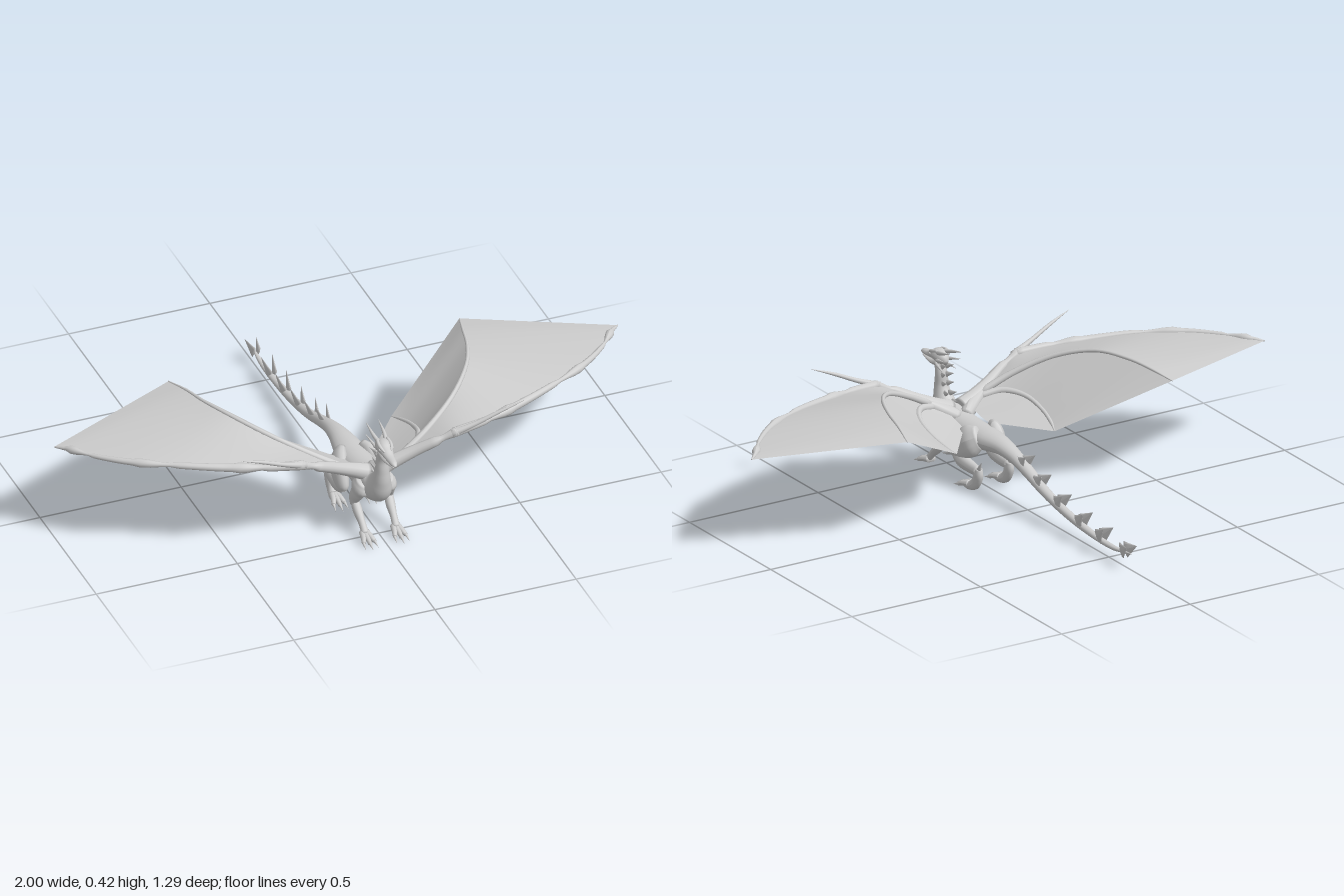
import * as THREE from 'three';

const skin = new THREE.MeshStandardMaterial({ color: 0xcccccc });
const web = new THREE.MeshStandardMaterial({ color: 0xcccccc, side: THREE.DoubleSide });
const V = (x, y, z) => new THREE.Vector3(x, y, z);

// Indexed grid of (rows + 1) x (cols + 1) points given by fn(row, col)
function grid(rows, cols, fn) {
  const pos = [], idx = [];
  for (let i = 0; i <= rows; i++)
    for (let j = 0; j <= cols; j++) pos.push(...fn(i, j).toArray());
  for (let i = 0; i < rows; i++)
    for (let j = 0; j < cols; j++) {
      const a = i * (cols + 1) + j, b = a + cols + 1;
      idx.push(a, a + 1, b, a + 1, b + 1, b);
    }
  const g = new THREE.BufferGeometry();
  g.setAttribute('position', new THREE.Float32BufferAttribute(pos, 3));
  g.setIndex(idx);
  g.computeVertexNormals();
  return g;
}

// Smooth elliptical loft through rows [x, y, z, radius along ref, other radius], closed at both ends
function loft(rows, { ref = V(1, 0, 0), steps = 5, sides = 14 } = {}) {
  const path = new THREE.CatmullRomCurve3(rows.map(r => V(r[0], r[1], r[2])));
  const radii = new THREE.CatmullRomCurve3(rows.map(r => V(r[3], r[4] ?? r[3], 0)));
  const n = (rows.length - 1) * steps;
  const rings = [];
  for (let i = 0; i <= n; i++) {
    const c = path.getPoint(i / n), t = path.getTangent(i / n), r = radii.getPoint(i / n);
    const u = ref.clone().addScaledVector(t, -ref.dot(t)).normalize();
    rings.push({ c, u, v: t.cross(u), a: Math.max(r.x, 0.0005), b: Math.max(r.y, 0.0005) });
  }
  rings.unshift({ ...rings[0], a: 0, b: 0 });
  rings.push({ ...rings[n + 1], a: 0, b: 0 });
  return grid(n + 2, sides, (i, j) => {
    const { c, u, v, a, b } = rings[i], w = (j % sides) / sides * Math.PI * 2;
    return c.clone().addScaledVector(u, a * Math.cos(w)).addScaledVector(v, b * Math.sin(w));
  });
}

// Straight pointed horn, claw or spine
const spike = (from, to, a, b = a) =>
  loft([[...from, a, b], [...to, 0.0005, 0.0005]], { steps: 2, sides: 8 });

// Ruled skin stretched between two curves
function membrane(p, q) {
  const a = new THREE.CatmullRomCurve3(p), b = new THREE.CatmullRomCurve3(q);
  return grid(24, 8, (i, j) => a.getPoint(i / 24).lerp(b.getPoint(i / 24), j / 8));
}

export function createModel() {
  const model = new THREE.Group();
  const add = (name, geo, mat = skin, parent = model) => {
    const m = new THREE.Mesh(geo, mat);
    m.name = name;
    parent.add(m);
  };

  // Neck, torso and tail in one sweep
  add('body', loft([
    [0, .35, .545, .016, .018], [0, .31, .532, .021, .021], [0, .268, .531, .024, .025],
    [0, .225, .52, .033, .038], [0, .185, .493, .048, .054], [0, .172, .44, .056, .050],
    [0, .168, .37, .055, .043], [0, .168, .30, .056, .040], [0, .172, .23, .051, .035],
    [0, .175, .15, .036, .027], [0, .162, .07, .026, .022], [0, .14, 0, .022, .019],
    [0, .10, -.115, .018, .016], [0, .068, -.255, .015, .014], [0, .05, -.395, .013, .011],
    [0, .045, -.53, .010, .008], [0, .058, -.635, .002, .002]], { sides: 20 }));

  // Head
  add('skull', loft([
    [0, .35, .65, .004, .003], [0, .354, .635, .012, .009], [0, .357, .60, .016, .011],
    [0, .365, .57, .022, .017], [0, .37, .545, .026, .024], [0, .362, .52, .022, .022],
    [0, .35, .505, .008, .010]]));
  add('lowerJaw', loft([
    [0, .341, .64, .005, .003], [0, .339, .61, .012, .006], [0, .338, .575, .018, .010],
    [0, .345, .535, .020, .014]]));

  for (const s of [1, -1]) {
    const side = new THREE.Group();
    side.name = s > 0 ? 'leftSide' : 'rightSide';
    model.add(side);
    const put = (name, geo, mat) => add(name, geo, mat, side);
    const P = ([x, ...rest]) => [x * s, ...rest];
    const limb = (name, rows, opt) => put(name, loft(rows.map(P), opt));
    const thorn = (name, a, b, ...r) => put(name, spike(P(a), P(b), ...r));

    // Horns, cheek spines and brows
    limb('horn', [[.012, .38, .54, .008], [.019, .392, .50, .006], [.022, .407, .445, .0008]]);
    thorn('cheekSpine', [.02, .36, .525], [.032, .375, .462], .007);
    thorn('jawSpine', [.018, .342, .53], [.028, .335, .485], .006);
    limb('brow', [[.012, .371, .585, .003], [.02, .382, .56, .006], [.018, .39, .53, .005]]);
    const eye = new THREE.SphereGeometry(.005, 10, 8);
    eye.translate(.022 * s, .372, .567);
    put('eye', eye);

    // Paired spines down the neck
    for (const [y, z] of [[.34, .515], [.31, .515], [.28, .512], [.25, .496], [.225, .475]])
      thorn('neckSpine', [.008, y, z], [.016, y + .012, z - .035], .005, .011);

    // Paired spines along the tail, given by their tips
    for (const [y, z, h] of [[.195, -.015, .042], [.16, -.115, .04], [.132, -.24, .042],
      [.112, -.37, .046], [.10, -.495, .042], [.083, -.64, .025]])
      thorn('tailSpine', [.008, y - h, z + .05], [.02, y, z], .006, .028);

    // Clawed foot: toes fan forward from the ankle
    const foot = (name, x, y, z, reach) => {
      for (const k of [-1, 0, 1]) {
        const tx = x + k * .019, tz = z + reach - Math.abs(k) * .01;
        limb(name + 'Toe', [[x + k * .006, y, z, .012], [x + k * .014, .019, z + reach * .55, .009],
          [tx, .012, tz, .007]], { sides: 10 });
        thorn(name + 'Claw', [tx, .014, tz - .003], [tx + k * .003, .003, tz + .026], .006);
      }
    };

    // Front leg
    limb('frontUpperLeg', [[.04, .195, .465, .022, .03], [.053, .155, .455, .022, .03],
      [.06, .12, .438, .018, .022], [.06, .095, .436, .015, .016]]);
    limb('frontLowerLeg', [[.06, .108, .435, .014, .015], [.058, .082, .458, .016, .017],
      [.056, .05, .495, .012, .012], [.055, .025, .52, .013, .011]]);
    thorn('elbowSpur', [.062, .09, .44], [.066, .103, .408], .008);
    foot('front', .055, .025, .51, .055);

    // Hind leg
    limb('thigh', [[.035, .185, .245, .018, .04], [.052, .165, .275, .028, .055],
      [.062, .135, .315, .026, .046], [.063, .105, .342, .019, .027], [.062, .092, .345, .01, .012]]);
    limb('shin', [[.062, .108, .345, .016, .02], [.063, .092, .305, .021, .026],
      [.061, .083, .255, .018, .022], [.06, .08, .212, .014, .018]]);
    limb('hindAnkle', [[.06, .092, .207, .012, .014], [.06, .065, .21, .015, .021],
      [.06, .035, .225, .014, .02], [.06, .018, .255, .018, .016], [.06, .016, .285, .015, .012]]);
    thorn('hockSpur', [.061, .085, .205], [.066, .122, .18], .010);
    foot('hind', .06, .024, .255, .055);

    // Wing bones: x, y, z and the two radii
    const arm = [[.02, .215, .445, .03], [.07, .237, .45, .025], [.14, .27, .465, .02],
      [.21, .305, .487, .017], [.28, .335, .50, .017]];
    const longFinger = [[.27, .333, .50, .017], [.38, .34, .483, .014], [.50, .347, .45, .014],
      [.66, .358, .39, .011], [.80, .36, .315, .011], [.90, .357, .23, .008],
      [.965, .354, .15, .008], [.998, .35, .12, .002]];
    const midFinger = [[.10, .25, .445, .013], [.20, .305, .415, .011], [.32, .365, .345, .009],
      [.415, .40, .235, .007], [.465, .40, .12, .006], [.49, .392, .02, .005], [.515, .375, -.075, .002]];
    const shortFinger = [[.09, .24, .44, .014], [.16, .255, .41, .012], [.205, .25, .34, .009],
      [.215, .228, .25, .007], [.205, .208, .18, .006], [.19, .195, .135, .001]];
    const up = { ref: V(0, 1, 0) };
    limb('wingArm', arm, up);
    limb('longWingFinger', longFinger, up);
    limb('middleWingFinger', midFinger, up);
    limb('shortWingFinger', shortFinger, up);
    limb('wingThumb', [[.26, .33, .50, .013], [.34, .36, .515, .008], [.42, .395, .527, .006],
      [.50, .425, .538, .0008]], up);
    limb('shoulderMuscle', [[.012, .20, .40, .02], [.045, .215, .425, .026],
      [.09, .24, .445, .022], [.13, .262, .455, .012]], up);

    // Wing skin
    const line = rows => rows.map(r => V(...P(r).slice(0, 3)));
    const root = [[.04, .225, .44], [.045, .213, .40], [.045, .203, .36], [.05, .195, .315]];
    const leading = [arm[2], arm[3], ...longFinger];
    put('outerMembrane', membrane(line(leading), line(midFinger)), web);
    put('innerMembrane', membrane(line(midFinger), line(shortFinger)), web);
    put('rootMembrane', membrane(line(shortFinger), line(root)), web);
  }
  return model;
}
